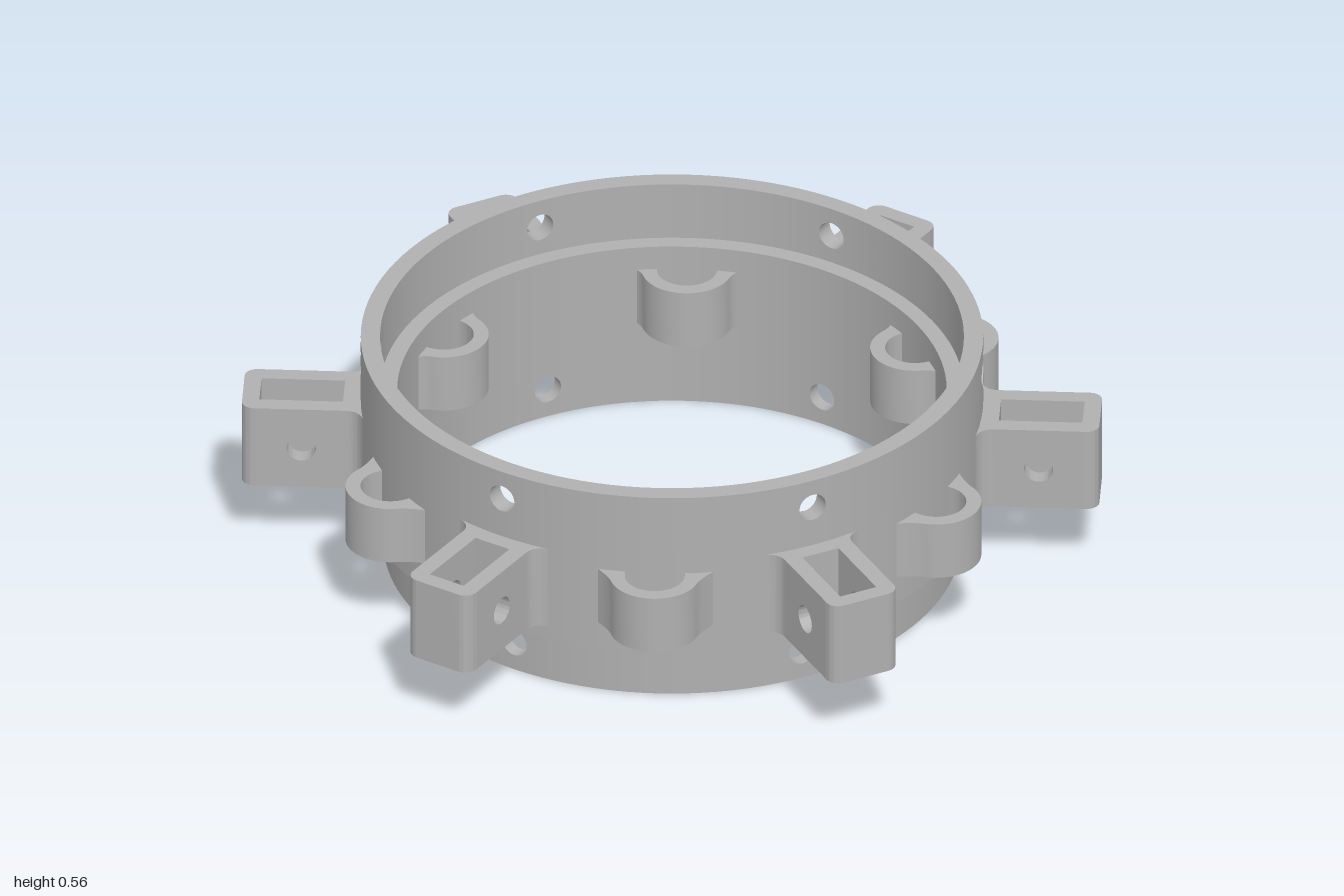
import * as THREE from 'three';
import { toCreasedNormals } from 'three/addons/utils/BufferGeometryUtils.js';
import { ParametricGeometry } from 'three/addons/geometries/ParametricGeometry.js';

const grey = new THREE.MeshStandardMaterial({ color: 0xb0b0b0 });
grey.name = 'grey plastic';

const R_OUT = 0.725, R_SOCKET = 0.68, R_SPIGOT = 0.672, R_IN = 0.64;
const Y_STEP = 0.145, Y_LEDGE = 0.42, Y_TOP = 0.565;
const HOLE = 0.034;

function add(parent, name, geometry) {
  const mesh = new THREE.Mesh(geometry, grey);
  mesh.name = name;
  parent.add(mesh);
  return mesh;
}

// Extrude a plan outline (radial, tangential) upward from y0 to y1
function extrudeUp(shape, y0, y1) {
  const g = new THREE.ExtrudeGeometry(shape, { depth: y1 - y0, bevelEnabled: false, curveSegments: 12 });
  g.rotateX(-Math.PI / 2).translate(0, y0, 0);
  return toCreasedNormals(g, 0.6);
}

// Point on a cylinder of radius r
const onCylinder = (r, theta, y, target) => target.set(r * Math.cos(theta), y, -r * Math.sin(theta));

// Point on the rim of a radial screw hole, as [angle, height offset]
function holeRim(u, r) {
  const a = u * Math.PI * 2 + Math.PI / 4;
  return [Math.asin(HOLE * Math.cos(a) / r), HOLE * Math.sin(a)];
}

// Point on the border of a 60 degree wall panel, same order as holeRim
function panelRim(u, halfH) {
  const side = Math.min(3, Math.floor(u * 4 + 1e-9)), f = (u * 4 - side) * 2 - 1;
  const [x, y] = [[-f, 1], [-1, -f], [f, -1], [1, f]][side];
  return [x * Math.PI / 6, y * halfH];
}

// Curved wall panel with a round hole, facing outward or inward
function wallPanel(r, y0, y1, outward) {
  const yc = (y0 + y1) / 2, halfH = (y1 - y0) / 2;
  return new ParametricGeometry((u, v, target) => {
    const t = outward ? 1 - v : v;
    const a = holeRim(u, r), b = panelRim(u, halfH);
    onCylinder(r, a[0] + (b[0] - a[0]) * t, yc + a[1] + (b[1] - a[1]) * t, target);
  }, 80, 8);
}

// Lining of a screw hole through the wall
function holeLining(rOut, rIn, yc) {
  return new ParametricGeometry((u, v, target) => {
    const r = rOut + (rIn - rOut) * v, a = holeRim(u, r);
    onCylinder(r, a[0], yc + a[1], target);
  }, 80, 1);
}

// Side bracket with a vertical slot and a cross hole
function makeBracket() {
  const bracket = new THREE.Group();
  bracket.name = 'bracket';
  const y0 = 0.18, y1 = 0.39, w = 0.088, slot = 0.047, x0 = 0.765, x1 = 0.96, c = 0.03;

  const base = new THREE.Shape();
  base.moveTo(0.70, -0.13);
  base.lineTo(0.713, -0.128);
  base.quadraticCurveTo(0.722, -w, 0.757, -w);
  base.lineTo(x0, -w);
  base.lineTo(x0, w);
  base.lineTo(0.757, w);
  base.quadraticCurveTo(0.722, w, 0.713, 0.128);
  base.lineTo(0.70, 0.13);
  add(bracket, 'bracketBase', extrudeUp(base, y0, y1));

  const end = new THREE.Shape();
  end.moveTo(x1, -w);
  end.lineTo(1 - c, -w);
  end.absarc(1 - c, -w + c, c, -Math.PI / 2, 0);
  end.absarc(1 - c, w - c, c, 0, Math.PI / 2);
  end.lineTo(x1, w);
  add(bracket, 'bracketEnd', extrudeUp(end, y0, y1));

  const cheek = new THREE.Shape();
  cheek.moveTo(x0, y0);
  cheek.lineTo(x1, y0);
  cheek.lineTo(x1, y1);
  cheek.lineTo(x0, y1);
  const pin = new THREE.Path();
  pin.absarc(0.86, 0.285, 0.034, 0, Math.PI * 2, true);
  cheek.holes.push(pin);
  for (const z of [-w, slot]) {
    const g = new THREE.ExtrudeGeometry(cheek, { depth: w - slot, bevelEnabled: false, curveSegments: 24 });
    add(bracket, 'bracketCheek', toCreasedNormals(g.translate(0, 0, z), 0.6));
  }
  return bracket;
}

// Rounded cable loop with flared feet; dir 1 bulges outward, -1 inward
function loopShape(centre, dir, foot) {
  const r = 0.105, ri = 0.07, pts = [];
  const flare = new THREE.QuadraticBezierCurve(
    new THREE.Vector2(foot, -0.14),
    new THREE.Vector2(0.003, -0.112),
    new THREE.Vector2(r * Math.cos(1.3), -r * Math.sin(1.3)));
  const half = flare.getPoints(6);
  pts.push(...half);
  for (let i = 1; i < 24; i++) {
    const a = -1.3 + 2.6 * i / 24;
    pts.push(new THREE.Vector2(r * Math.cos(a), r * Math.sin(a)));
  }
  pts.push(...half.map(p => new THREE.Vector2(p.x, -p.y)).reverse());
  pts.push(new THREE.Vector2(foot - 0.01, ri));
  for (let i = 0; i <= 24; i++) {
    const a = Math.PI / 2 - Math.PI * i / 24;
    pts.push(new THREE.Vector2(ri * Math.cos(a), ri * Math.sin(a)));
  }
  pts.push(new THREE.Vector2(foot - 0.01, -ri));
  return new THREE.Shape(pts.map(p => new THREE.Vector2(centre + dir * p.x, p.y)));
}

export function createModel() {
  const model = new THREE.Group();
  model.name = 'ringCoupling';

  // Plain turned surfaces of the ring, one lathe per face for sharp edges
  const faces = [
    ['bottomRim', R_IN, 0, R_SPIGOT, 0],
    ['outerStep', R_SPIGOT, Y_STEP, R_OUT, Y_STEP],
    ['outerWall', R_OUT, Y_STEP, R_OUT, Y_LEDGE],
    ['topRim', R_OUT, Y_TOP, R_SOCKET, Y_TOP],
    ['innerLedge', R_SOCKET, Y_LEDGE, R_IN, Y_LEDGE],
    ['innerWall', R_IN, Y_LEDGE, R_IN, Y_STEP],
  ];
  for (const [name, xa, ya, xb, yb] of faces) {
    add(model, name, new THREE.LatheGeometry([new THREE.Vector2(xa, ya), new THREE.Vector2(xb, yb)], 120));
  }

  // Drilled bands: upper socket and lower spigot
  const bands = [
    ['socket', R_OUT, R_SOCKET, Y_LEDGE, Y_TOP],
    ['spigot', R_SPIGOT, R_IN, 0, Y_STEP],
  ].map(([name, ro, ri, y0, y1]) => [
    [name + 'Outside', wallPanel(ro, y0, y1, true)],
    [name + 'Inside', wallPanel(ri, y0, y1, false)],
    [name + 'ScrewHole', holeLining(ro, ri, (y0 + y1) / 2)],
  ]).flat();

  const bracket = makeBracket();
  const outerLoop = extrudeUp(loopShape(0.735, 1, -0.03), 0.215, 0.36);
  const innerLoop = extrudeUp(loopShape(0.635, -1, -0.012), 0.215, 0.36);

  // Six-fold repeat: brackets and screw holes, with loops midway between
  for (let i = 0; i < 6; i++) {
    const sector = new THREE.Group();
    sector.name = 'sector' + (i + 1);
    sector.rotation.y = i * Math.PI / 3;
    for (const [name, g] of bands) add(sector, name, g);
    sector.add(bracket.clone());
    add(sector, 'outerLoop', outerLoop).rotation.y = Math.PI / 6;
    add(sector, 'innerLoop', innerLoop).rotation.y = Math.PI / 6;
    model.add(sector);
  }
  return model;
}
